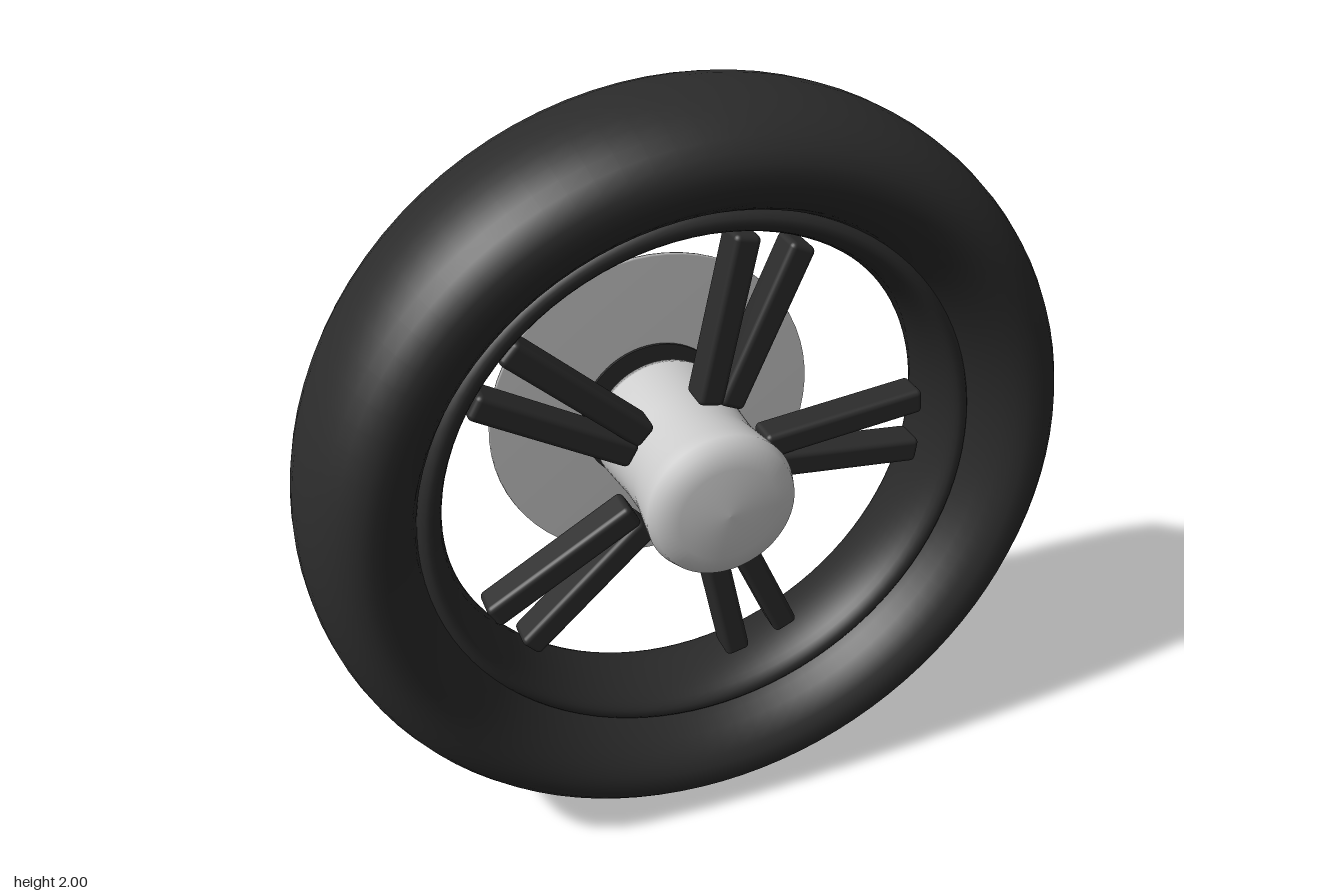
import * as THREE from 'three';
import { RoundedBoxGeometry } from 'three/addons/geometries/RoundedBoxGeometry.js';

const rubber = new THREE.MeshStandardMaterial({ color: 0x2b2b2b });
rubber.name = 'black';
const silver = new THREE.MeshStandardMaterial({ color: 0xcccccc });
silver.name = 'silver';

const MID = 0.037; // z of the tyre's middle plane

function mesh(name, geometry, material, parent) {
  const m = new THREE.Mesh(geometry, material);
  m.name = name;
  parent.add(m);
  return m;
}

// Ring around z with an elliptical section
function ring(radius, tube, halfDepth) {
  return new THREE.TorusGeometry(radius, tube, 32, 96)
    .scale(1, 1, halfDepth / tube)
    .translate(0, 0, MID);
}

// Turned part around z from [radius, z] pairs, listed back to front
function turned(points) {
  const profile = points.map(([r, z]) => new THREE.Vector2(r, z));
  return new THREE.LatheGeometry(profile, 64).rotateX(Math.PI / 2);
}

function plate(radius, depth, z) {
  return new THREE.CylinderGeometry(radius, radius, depth, 64)
    .rotateX(Math.PI / 2)
    .translate(0, 0, z);
}

export function createModel() {
  const model = new THREE.Group();
  model.name = 'wheel';
  const wheel = new THREE.Group();
  wheel.name = 'wheelAssembly';
  wheel.position.y = 1;
  model.add(wheel);

  // Tyre and the inner rim
  mesh('tyre', ring(0.86, 0.14, 0.248), rubber, wheel);
  mesh('rim', ring(0.71, 0.05, 0.13), rubber, wheel);

  // Hub with a slight waist and a softly rounded nose
  mesh('hub', turned([
    [0, -0.2], [0.185, -0.2], [0.195, -0.17], [0.18, -0.02], [0.177, 0.08],
    [0.19, 0.18], [0.195, 0.225], [0.183, 0.258], [0.13, 0.277], [0, 0.285],
  ]), silver, wheel);

  // Five pairs of spokes, each pair spreading outwards
  const inner = new THREE.Vector2(0.19, 0.029);
  const outer = new THREE.Vector2(0.638, 0.077);
  const along = outer.clone().sub(inner);
  const spokeGeometry = new RoundedBoxGeometry(along.length(), 0.07, 0.09, 3, 0.015);
  for (let i = 0; i < 5; i++) {
    const pair = new THREE.Group();
    pair.name = 'spokePair';
    pair.rotation.z = (i * Math.PI * 2) / 5;
    wheel.add(pair);
    for (const side of [1, -1]) {
      const spoke = mesh('spoke', spokeGeometry, rubber, pair);
      spoke.position.set((inner.x + outer.x) / 2, side * (inner.y + outer.y) / 2, MID);
      spoke.rotation.z = side * along.angle();
    }
  }

  // Brake disc behind the wheel, with a dark cover on both faces
  mesh('brakeDisc', turned([
    [0, -0.276], [0.456, -0.276], [0.458, -0.268], [0.456, -0.258], [0, -0.258],
  ]), silver, wheel);
  mesh('discCore', plate(0.2, 0.03, -0.266), silver, wheel);
  mesh('frontDiscCover', plate(0.207, 0.008, -0.249), rubber, wheel);
  mesh('backDiscCover', plate(0.207, 0.008, -0.281), rubber, wheel);

  return model;
}
